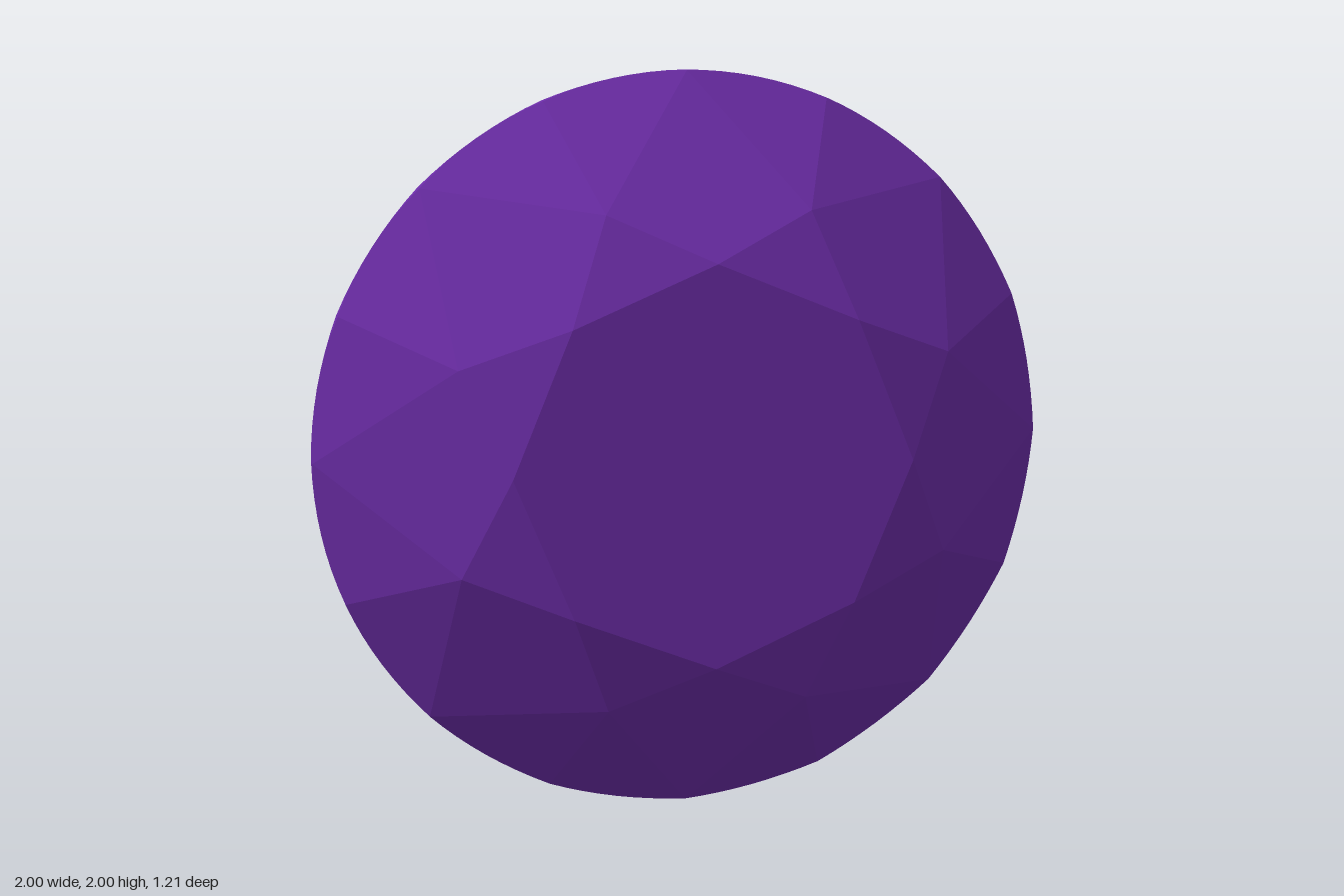
import * as THREE from 'three';

const FOLD = 8;                    // symmetry of the cut
const STEP = Math.PI / FOLD;       // half a sector
const ARC = 8;                     // girdle segments per half sector
const TABLE = { r: 0.53, z: 0.605 };
const CROWN_Z = 0.283, PAVILION_Z = 0.25, CULET_Z = -0.605;

const polar = (r, a, z) => new THREE.Vector3(r * Math.cos(a), r * Math.sin(a), z);

// Points where a facet plane through the inner corner cuts the girdle cylinder
function girdleArc(inner, a0, z) {
  const plane = new THREE.Plane().setFromCoplanarPoints(inner, polar(1, a0, z), polar(1, a0 + STEP, z));
  const n = plane.normal;
  return Array.from({ length: ARC + 1 }, (_, i) => {
    const p = polar(1, a0 + STEP * i / ARC, 0);
    p.z = -(plane.constant + n.x * p.x + n.y * p.y) / n.z;
    return p;
  });
}

// Turns convex facets into a flat-shaded mesh
function facetMesh(name, facets, material) {
  const points = [];
  for (const f of facets) {
    for (let i = 1; i < f.length - 1; i++) points.push(f[0], f[i], f[i + 1]);
  }
  const geometry = new THREE.BufferGeometry().setFromPoints(points);
  geometry.computeVertexNormals();
  const mesh = new THREE.Mesh(geometry, material);
  mesh.name = name;
  return mesh;
}

export function createModel() {
  const material = new THREE.MeshStandardMaterial({ color: 0x6a2ca5, flatShading: true });
  const table = [], crown = [], girdle = [], pavilion = [];
  const culet = new THREE.Vector3(0, 0, CULET_Z);

  // Inner corners lie in the planes of the main facets
  const starR = 0.705, lowerR = 0.424, c = Math.cos(STEP);
  const starZ = TABLE.z - (starR * c - TABLE.r) * (TABLE.z - CROWN_Z) / (1 - TABLE.r);
  const lowerZ = CULET_Z + lowerR * c * (PAVILION_Z - CULET_Z);

  for (let k = 0; k < FOLD; k++) {
    const a = 2 * k * STEP;
    const corner = polar(TABLE.r, a, TABLE.z);
    const next = polar(TABLE.r, a + 2 * STEP, TABLE.z);
    const star = polar(starR, a + STEP, starZ);
    const starBefore = polar(starR, a - STEP, starZ);
    const lower = polar(lowerR, a + STEP, lowerZ);
    const lowerBefore = polar(lowerR, a - STEP, lowerZ);
    table.push(corner);

    // Star and kite facets, then the pavilion main
    crown.push([corner, star, next]);
    crown.push([corner, starBefore, polar(1, a, CROWN_Z), star]);
    pavilion.push([culet, lower, polar(1, a, PAVILION_Z), lowerBefore]);

    // Paired half facets with the scalloped girdle between them
    for (const a0 of [a, a + STEP]) {
      const top = girdleArc(star, a0, CROWN_Z);
      const bottom = girdleArc(lower, a0, PAVILION_Z);
      crown.push([star, ...top]);
      pavilion.push([lower, ...[...bottom].reverse()]);
      for (let i = 0; i < ARC; i++) girdle.push([bottom[i], bottom[i + 1], top[i + 1], top[i]]);
    }
  }

  const gem = new THREE.Group();
  gem.name = 'brilliantCutGem';
  gem.add(
    facetMesh('table', [table], material),
    facetMesh('crown', crown, material),
    facetMesh('girdle', girdle, material),
    facetMesh('pavilion', pavilion, material)
  );
  gem.position.y = 1;

  const model = new THREE.Group();
  model.name = 'gemstone';
  model.add(gem);
  return model;
}
